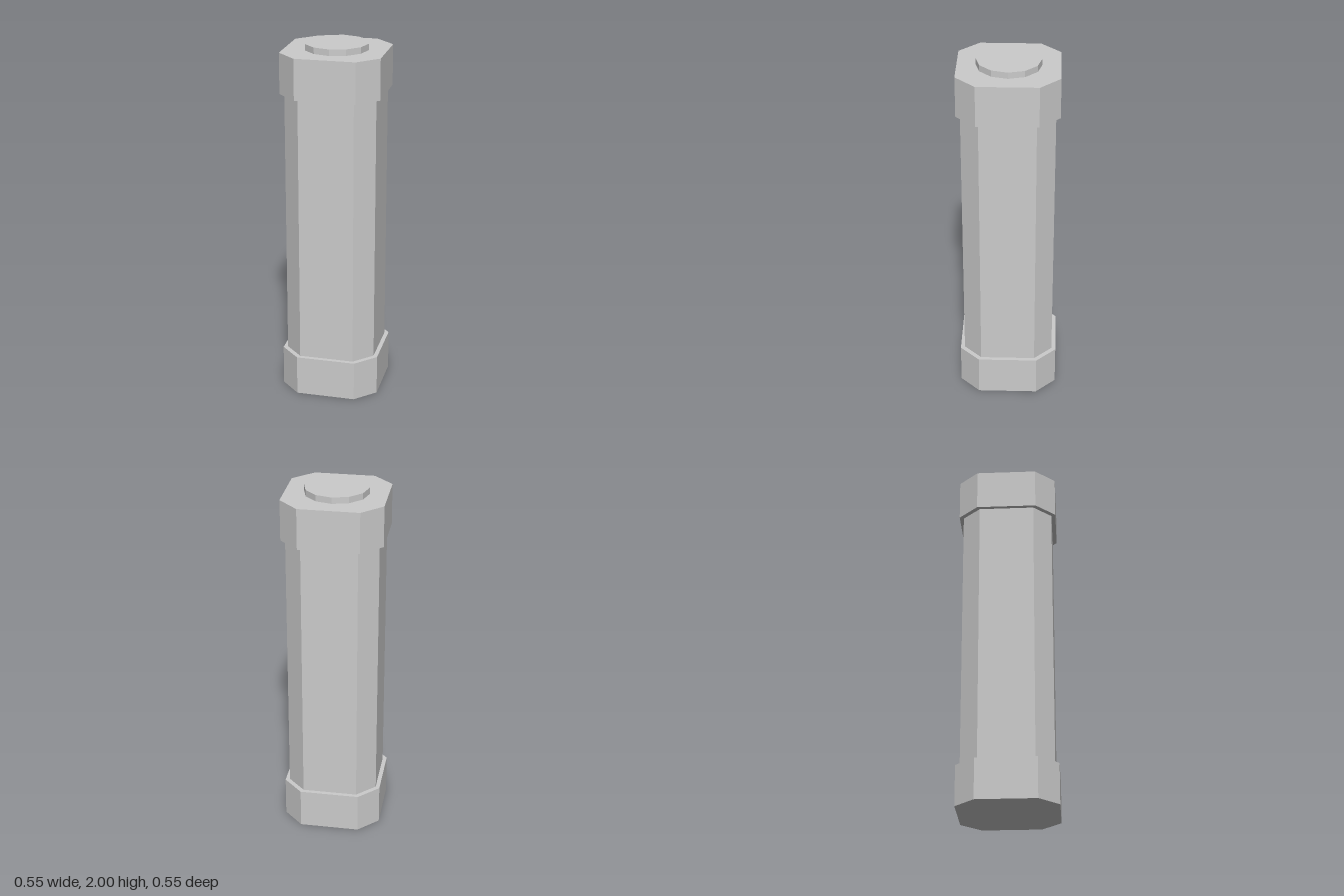
import * as THREE from 'three';

const material = new THREE.MeshStandardMaterial({ color: 0xcccccc, flatShading: true });

// Upright square prism with chamfered corners: half = half width, flat = half length of each straight side
function chamferedPrism(name, half, flat, bottom, top) {
  const shape = new THREE.Shape([
    [half, -flat], [half, flat], [flat, half], [-flat, half],
    [-half, flat], [-half, -flat], [-flat, -half], [flat, -half],
  ].map(([x, y]) => new THREE.Vector2(x, y)));
  const geometry = new THREE.ExtrudeGeometry(shape, { depth: top - bottom, bevelEnabled: false });
  geometry.rotateX(-Math.PI / 2);
  const mesh = new THREE.Mesh(geometry, material);
  mesh.name = name;
  mesh.position.y = bottom;
  return mesh;
}

export function createModel() {
  const model = new THREE.Group();
  model.name = 'cappedCanister';

  // Long body between two wider end caps
  model.add(
    chamferedPrism('bottomCap', 0.276, 0.166, 0, 0.227),
    chamferedPrism('body', 0.253, 0.153, 0.227, 1.738),
    chamferedPrism('topCap', 0.276, 0.166, 1.738, 1.965),
  );

  // Twelve-sided disc on the top cap
  const disc = new THREE.Mesh(new THREE.CylinderGeometry(0.176, 0.176, 0.035, 12), material);
  disc.name = 'topDisc';
  disc.position.y = 1.9825;
  model.add(disc);

  return model;
}
